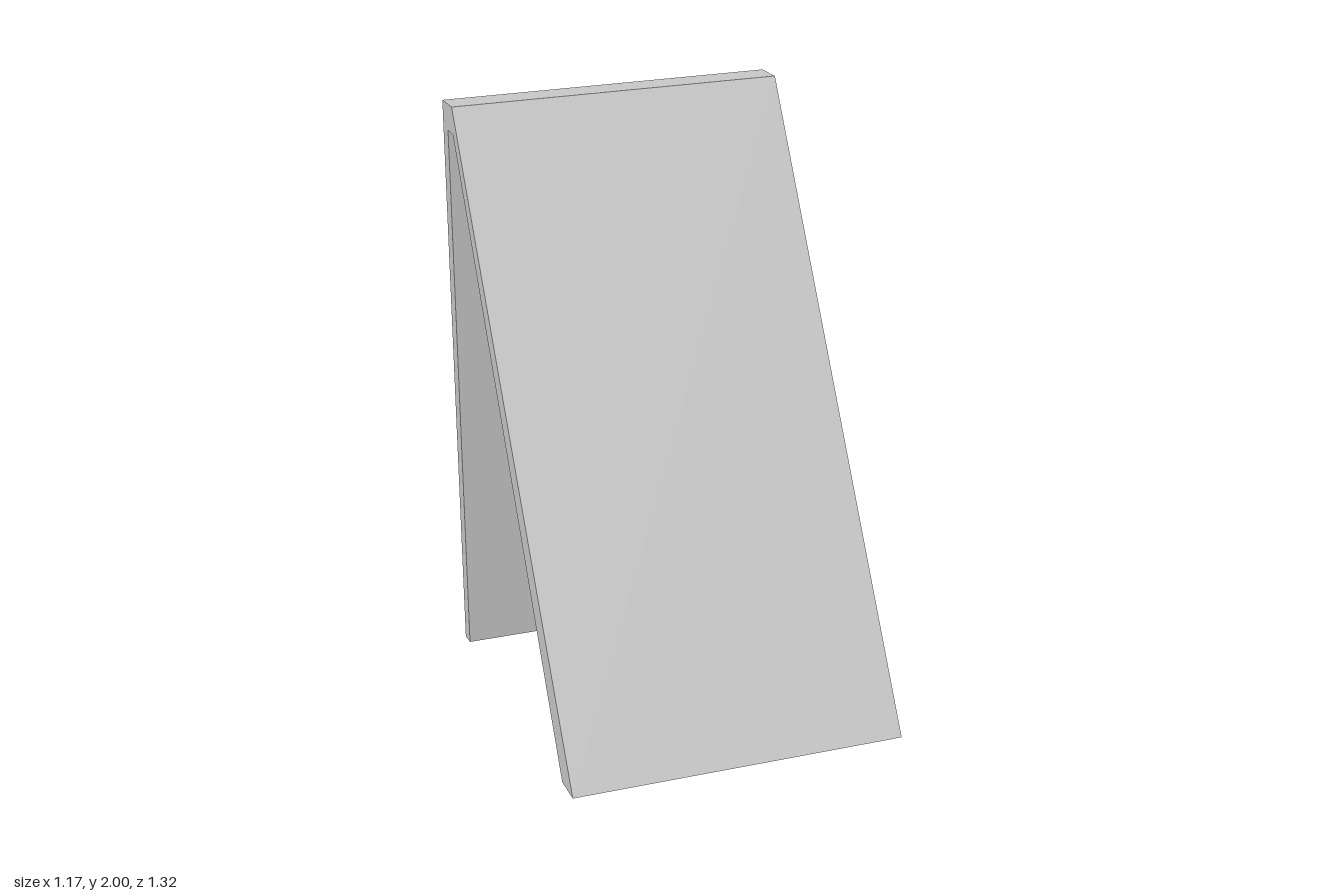
import * as THREE from 'three';

const WIDTH = 1.17;

export function createModel() {
  const group = new THREE.Group();
  group.name = 'tentBoard';

  // Side profile as (z, y): sloping front panel, ridge and near-upright back panel
  const profile = new THREE.Shape([
    [0.66, 0.005], [-0.545, 2], [-0.66, 1.995], [-0.585, 0],
    [-0.53, 0.003], [-0.6, 1.905], [-0.54, 1.905], [0.55, 0.005],
  ].map(([z, y]) => new THREE.Vector2(z, y)));

  // Extrude across the width, then turn the profile's first axis onto z
  const geometry = new THREE.ExtrudeGeometry(profile, { depth: WIDTH, bevelEnabled: false });
  geometry.translate(0, 0, -WIDTH / 2).rotateY(-Math.PI / 2);

  const board = new THREE.Mesh(
    geometry,
    new THREE.MeshStandardMaterial({ color: 0xcccccc, flatShading: true })
  );
  board.name = 'foldedBoard';
  group.add(board);
  return group;
}
